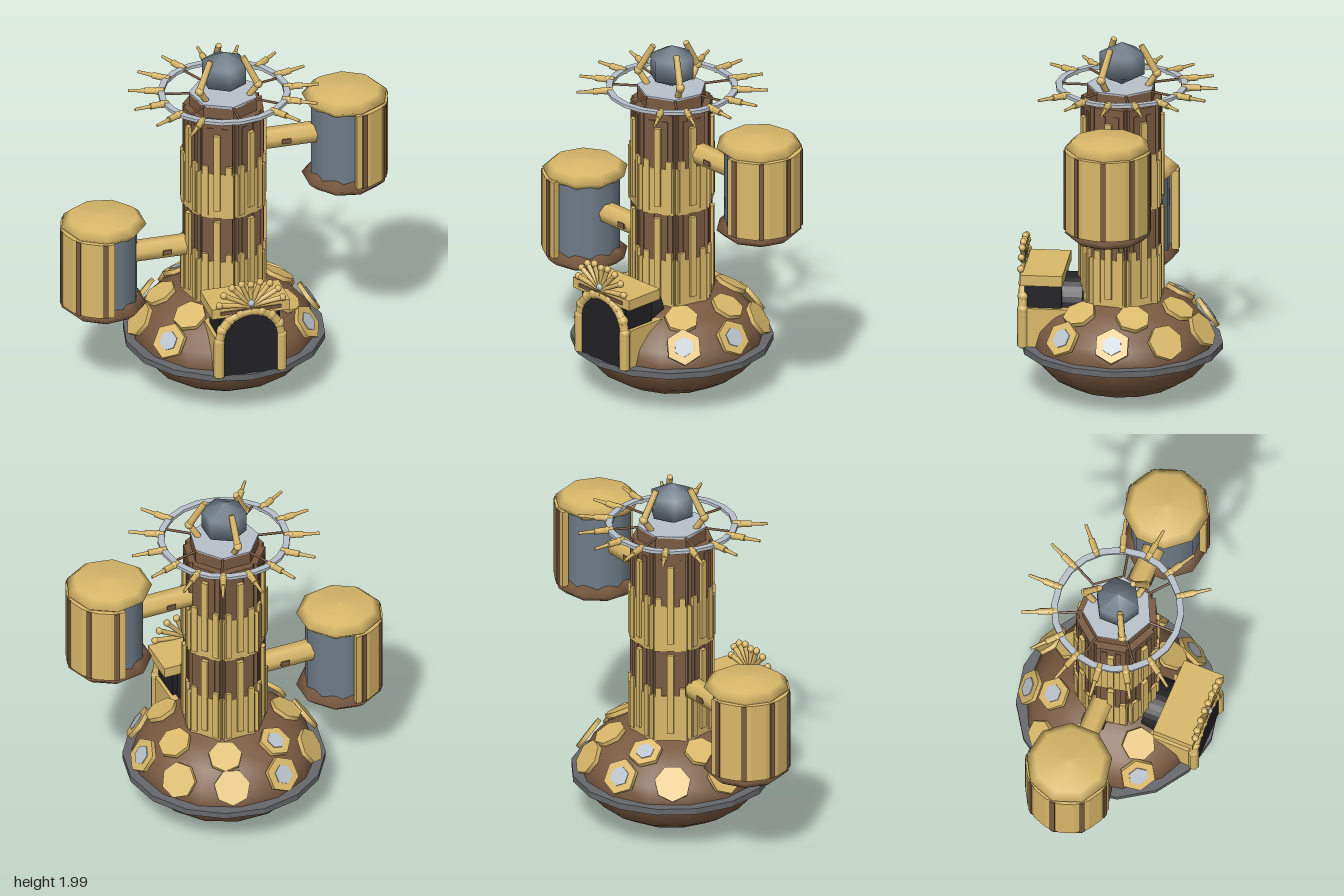
import * as THREE from 'three';

const mat = (color, extra = {}) => new THREE.MeshStandardMaterial({ color, ...extra });
const gold = mat(0xd9b869), brown = mat(0x7a5a41), steel = mat(0x6f7c88);
const pale = mat(0xb9c2cc), darkGrey = mat(0x66686b), black = mat(0x222226);
const brownFlat = mat(0x7a5a41, { flatShading: true });
const deg = THREE.MathUtils.degToRad;
const V = (x, y, z) => new THREE.Vector3(x, y, z);

function add(parent, name, geo, material, x = 0, y = 0, z = 0) {
  const m = new THREE.Mesh(geo, material);
  m.name = name;
  m.position.set(x, y, z);
  parent.add(m);
  return m;
}
const box = (p, name, material, w, h, d, x, y, z) =>
  add(p, name, new THREE.BoxGeometry(w, h, d), material, x, y, z);
const ball = (p, name, r, c, material = gold) =>
  add(p, name, new THREE.SphereGeometry(r, 8, 6), material, c.x, c.y, c.z);

// Cylinder between two points
function rod(p, name, a, b, r0, r1 = r0, material = gold) {
  const m = add(p, name, new THREE.CylinderGeometry(r1, r0, a.distanceTo(b), 7), material);
  m.position.copy(a).lerp(b, 0.5);
  m.quaternion.setFromUnitVectors(V(0, 1, 0), b.clone().sub(a).normalize());
  return m;
}

// Group turned about the vertical axis, so that local +z points outward
function sector(p, name, angle) {
  const g = new THREE.Group();
  g.name = name;
  g.rotation.y = deg(angle);
  p.add(g);
  return g;
}

// Band of rectangular section, centred on the vertical axis (angles from local +x)
function band(outer, inner, height, start, end, segs) {
  const s = new THREE.Shape();
  const pt = (r, i) => {
    const t = start + ((end - start) * i) / segs;
    return new THREE.Vector2(r * Math.cos(t), r * Math.sin(t));
  };
  const pts = [];
  for (let i = 0; i <= segs; i++) pts.push(pt(outer, i));
  for (let i = segs; i >= 0; i--) pts.push(pt(inner, i));
  s.setFromPoints(pts);
  return new THREE.ExtrudeGeometry(s, { depth: height, bevelEnabled: false }).rotateX(-Math.PI / 2);
}
const lathe = (pts, segs) =>
  new THREE.LatheGeometry(pts.map(([r, y]) => new THREE.Vector2(r, y)), segs);

function buildBase(root) {
  const g = sector(root, 'base', 0);
  add(g, 'hull', new THREE.SphereGeometry(0.5, 14, 10).scale(1, 0.58, 1), brown, 0, 0.3, 0);
  add(g, 'baseRing', band(0.55, 0.48, 0.035, 0, Math.PI * 2, 16), darkGrey, 0, 0.265, 0);
  // Tilted plates, some holding a window
  const plate = (angle, r, y, tilt, size, window) => {
    const s = sector(g, 'hullPlate', angle);
    const t = new THREE.Group();
    t.position.set(0, y, r);
    t.rotation.x = deg(90 - tilt);
    s.add(t);
    add(t, 'plate', new THREE.CylinderGeometry(size, size, 0.025, window ? 6 : 7), gold);
    if (window) add(t, 'window', new THREE.CylinderGeometry(size * 0.55, size * 0.55, 0.036, 6), pale);
  };
  for (const a of [54, 90, 126, 162, 198, 234, 270, 306])
    plate(a, 0.475, 0.42, 34, 0.1, [54, 90, 198, 306].includes(a));
  for (let i = 0; i < 6; i++) plate(55 + i * 51.4, 0.345, 0.53, 62, 0.092, i === 3);
}

function buildTower(root) {
  const g = sector(root, 'tower', 0);
  add(g, 'core', new THREE.CylinderGeometry(0.21, 0.21, 1.23, 7), brownFlat, 0, 1.065, 0);
  add(g, 'neck', new THREE.CylinderGeometry(0.19, 0.19, 0.07, 7), brownFlat, 0, 1.715, 0);
  for (let i = 0; i < 7; i++) {
    const f = sector(g, 'towerFace', ((i + 0.5) * 360) / 7);
    for (const [y, slatTop] of [[0.57, 1.07], [1.11, 1.6]]) {
      const span = (name, m, w, d, x, a, b, z) => box(f, name, m, w, b - a, d, x, (a + b) / 2, z);
      span('goldPanel', gold, 0.18, 0.036, 0, y - 0.02, y + 0.25, 0.199);
      span('brownPanel', brown, 0.165, 0.03, 0, y + 0.25, y + 0.57, 0.194);
      span('longSlat', gold, 0.036, 0.02, 0, y + 0.03, slatTop, 0.22);
      for (const x of [-0.065, 0.065]) {
        span('shortSlat', gold, 0.034, 0.024, x, y, y + 0.3, 0.211);
        span('brownSlat', brown, 0.034, 0.014, x * 0.6, y + 0.24, y + 0.53, 0.207);
      }
    }
  }
}

function buildCrown(root) {
  const g = sector(root, 'crown', 0);
  add(g, 'crownPlate', new THREE.CylinderGeometry(0.19, 0.19, 0.014, 7), pale, 0, 1.752, 0);
  add(g, 'halo', band(0.36, 0.325, 0.018, 0, Math.PI * 2, 20), pale, 0, 1.743, 0);
  add(g, 'crystal', lathe([[0, -0.12], [0.122, -0.06], [0.122, 0.06], [0, 0.12]], 6), steel, 0, 1.88, 0);
  for (let i = 0; i < 7; i++)
    rod(sector(g, 'spoke', (i * 360) / 7), 'spokeRod', V(0, 1.75, 0.16), V(0, 1.75, 0.335), 0.007, 0.007, brown);
  // Jointed claws around the crystal
  for (const a of [60, 180, 300]) {
    const s = sector(g, 'claw', a);
    rod(s, 'clawFoot', V(0, 1.755, 0.14), V(0, 1.83, 0.19), 0.018);
    ball(s, 'clawJoint', 0.025, V(0, 1.83, 0.19));
    rod(s, 'clawFinger', V(0, 1.83, 0.19), V(0, 1.985, 0.105), 0.02, 0.017);
  }
  // Spikes around the halo, open at the front
  for (let k = -6; k <= 6; k++) {
    const s = sector(g, 'spike', 180 + k * 24);
    rod(s, 'spikeBase', V(0, 1.752, 0.325), V(0, 1.752, 0.43), 0.018);
    ball(s, 'spikeJoint', 0.021, V(0, 1.752, 0.36));
    rod(s, 'spikeTip', V(0, 1.752, 0.43), V(0, 1.752, 0.52), 0.011, 0.008);
  }
}

function buildPod(root, angle, y) {
  // Local +z is the outward side
  const arm = sector(root, 'podArm', angle);
  rod(arm, 'armTube', V(0, y + 0.34, 0.18), V(0, y + 0.34, 0.54), 0.061);
  for (const x of [-0.055, 0.055]) box(arm, 'armPort', brown, 0.02, 0.028, 0.05, x, y + 0.34, 0.335);
  const g = new THREE.Group();
  g.name = 'pod';
  g.position.set(0, y, 0.68);
  arm.add(g);
  add(g, 'podTank', new THREE.CylinderGeometry(0.19, 0.19, 0.46, 10), steel, 0, 0.3, 0);
  add(g, 'podRoof', lathe([[0, 0.5], [0.185, 0.5], [0.235, 0.545], [0.19, 0.583], [0, 0.605]], 9), gold);
  add(g, 'podBowl', lathe([[0, 0], [0.19, 0.02], [0.235, 0.06], [0.185, 0.105], [0, 0.105]], 9), brown);
  add(g, 'podShell', band(0.235, 0.195, 0.45, -Math.PI, 0, 9), gold, 0, 0.08, 0);
  for (const a of [-78, -40, 0, 40, 78])
    box(sector(g, 'podStrip', a), 'strip', brown, 0.028, 0.448, 0.025, 0, 0.305, 0.227);
}

function buildPorch(root) {
  const g = sector(root, 'porch', 0);
  // Dark vaulted passage
  const s = new THREE.Shape();
  s.moveTo(-0.15, 0.3);
  s.lineTo(0.15, 0.3);
  s.lineTo(0.15, 0.52);
  s.absarc(0, 0.52, 0.15, 0, Math.PI, false);
  add(g, 'passage', new THREE.ExtrudeGeometry(s, { depth: 0.33, bevelEnabled: false, curveSegments: 8 }),
    black, 0, 0, 0.2);
  box(g, 'porchRoof', gold, 0.44, 0.06, 0.23, 0, 0.69, 0.415);
  box(g, 'roofTrim', brown, 0.34, 0.02, 0.01, 0, 0.69, 0.532);
  // Side walls, columns and beaded arch
  for (const k of [-1, 1]) {
    box(g, 'sideWall', gold, 0.04, 0.23, 0.3, k * 0.17, 0.405, 0.38);
    box(g, 'innerWall', black, 0.03, 0.16, 0.2, k * 0.155, 0.59, 0.41);
    const pts = [[0.175, 0.3], [0.175, 0.51], [0.16, 0.58], [0.115, 0.64], [0.06, 0.672], [0, 0.68]]
      .map(([x, y]) => V(k * x, y, 0.52));
    for (let i = 1; i < pts.length; i++) {
      rod(g, 'archRod', pts[i - 1], pts[i], i === 1 ? 0.03 : 0.026);
      if (i < pts.length - 1) ball(g, 'archBead', 0.031, pts[i]);
    }
  }
  // Fan of rods over the roof
  for (let i = 0; i < 9; i++) {
    const t = deg(8 + i * 20.5), r = 0.13 + 0.05 * Math.abs(Math.cos(t));
    const tip = V(r * Math.cos(t), 0.715 + r * Math.sin(t), 0.53);
    rod(g, 'fanRod', V(0, 0.715, 0.53), tip, 0.011, 0.015);
    ball(g, 'fanBead', 0.02, tip);
  }
  ball(g, 'fanHub', 0.022, V(0, 0.735, 0.535), pale);
}

export function createModel() {
  const root = new THREE.Group();
  root.name = 'towerStation';
  buildBase(root);
  buildTower(root);
  buildCrown(root);
  buildPod(root, 90, 1.09);
  buildPod(root, -90, 0.505);
  buildPorch(root);
  return root;
}
